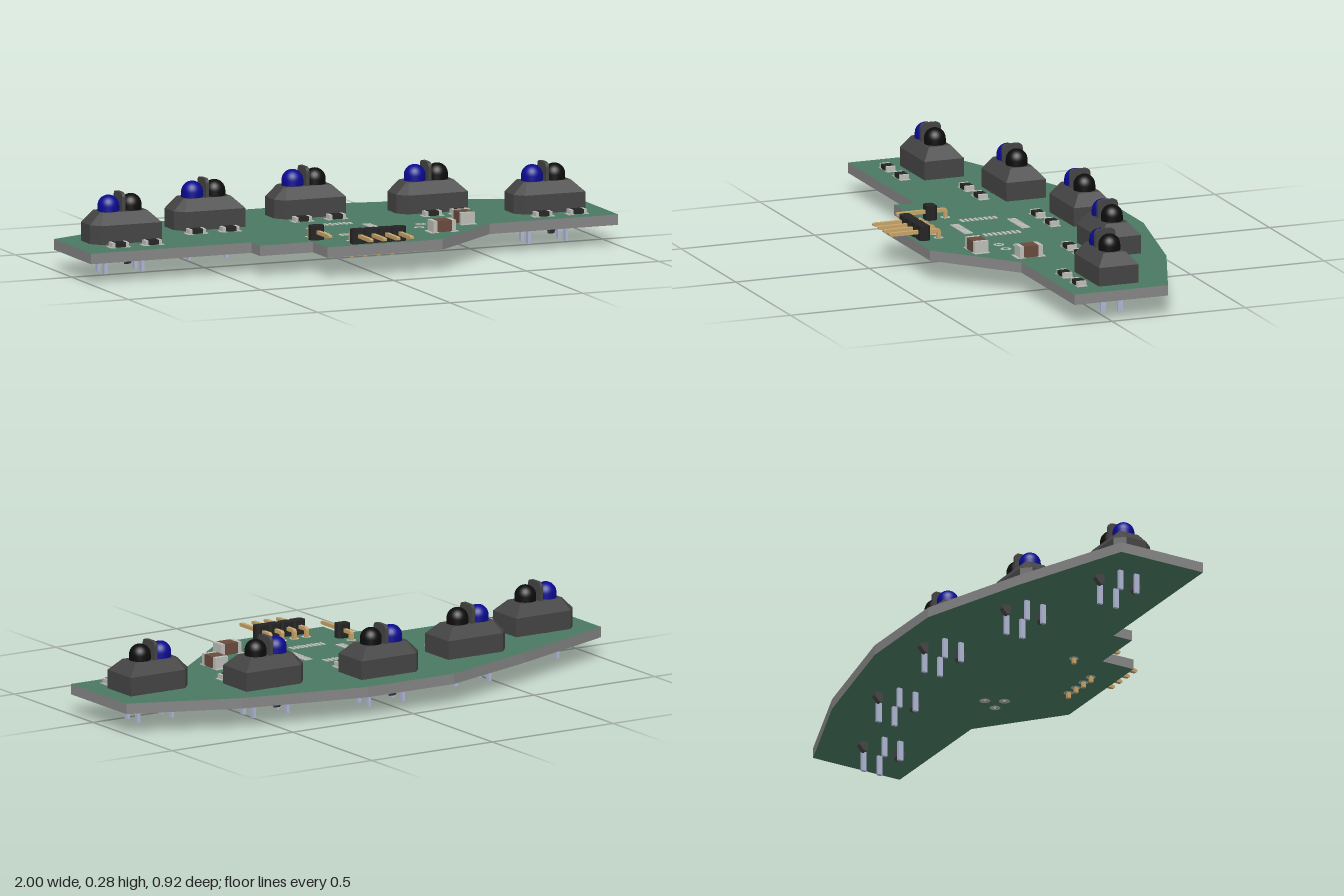
import * as THREE from 'three';
import { ConvexGeometry } from 'three/addons/geometries/ConvexGeometry.js';

const BOTTOM = 0.072, TOP = 0.109;
const mat = (color) => new THREE.MeshStandardMaterial({ color });
const M = {
  green: mat(0x4a7862), edge: mat(0x858585), body: mat(0x444444), blue: mat(0x0a0a90),
  black: mat(0x0c0c0c), lead: mat(0xb0b6d4), gold: mat(0xc8a468), metal: mat(0xbdbdb8),
  brown: mat(0x6a4a3c), plastic: mat(0x242424),
};

function add(parent, name, geometry, material, x = 0, y = 0, z = 0) {
  const mesh = new THREE.Mesh(geometry, material);
  mesh.name = name;
  mesh.position.set(x, y, z);
  parent.add(mesh);
  return mesh;
}
const box = (w, h, d) => new THREE.BoxGeometry(w, h, d);

function group(parent, name, x = 0, y = 0, z = 0) {
  const g = new THREE.Group();
  g.name = name;
  g.position.set(x, y, z);
  parent.add(g);
  return g;
}

// Extrude a (z, y) side profile across x, centred on x = 0
function sideExtrude(shape, width) {
  const g = new THREE.ExtrudeGeometry(shape, { depth: width, bevelEnabled: false, curveSegments: 6 });
  return g.translate(0, 0, -width / 2).rotateY(-Math.PI / 2);
}
const polygon = (pts) => new THREE.Shape(pts.map(([x, y]) => new THREE.Vector2(x, y)));

const regulatorHoles = [[0.29, 0.06], [0.258, 0.12], [0.322, 0.12]];

function buildBoard(parent) {
  const outline = [[-1, -0.16], [-0.575, -0.33], [-0.195, -0.46], [0.165, -0.46], [0.62, -0.36],
    [1, -0.21], [1, 0.14], [0.515, 0.14], [0.24, 0.37], [-0.195, 0.37], [-0.195, 0.245],
    [-0.395, 0.245], [-0.395, 0.17], [-1, 0.17]];
  const shape = polygon(outline.map(([x, z]) => [x, -z]).reverse());
  for (const [x, z] of regulatorHoles) {
    shape.holes.push(new THREE.Path().absarc(x, -z, 0.01, 0, Math.PI * 2, true));
  }
  const geo = new THREE.ExtrudeGeometry(shape, { depth: TOP - BOTTOM, bevelEnabled: false, curveSegments: 8 });
  add(parent, 'circuitBoard', geo.rotateX(-Math.PI / 2), [M.green, M.edge], 0, BOTTOM, 0);
}

// Ring pads on both faces of the board
function ringPad(parent, x, z, outer = 0.019) {
  const geo = new THREE.RingGeometry(0.01, outer, 20);
  add(parent, 'padTop', geo, M.metal, x, TOP + 0.001, z).rotation.x = -Math.PI / 2;
  add(parent, 'padBottom', geo, M.metal, x, BOTTOM - 0.001, z).rotation.x = Math.PI / 2;
}

function buildSensor(parent, x, z) {
  const s = group(parent, 'opticalSensor', x, 0, z);

  // Housing: chamfered on its -x end, tapering to a flat top
  const pts = [];
  const ring = (y, l, r, d, cx, cz) => [-1, 1].forEach((k) => pts.push(
    new THREE.Vector3(-l, y, k * (d - cz)), new THREE.Vector3(-l + cx, y, k * d), new THREE.Vector3(r, y, k * d)));
  ring(TOP, 0.128, 0.128, 0.074, 0.03, 0.034);
  ring(0.175, 0.128, 0.128, 0.074, 0.03, 0.034);
  ring(0.215, 0.088, 0.088, 0.041, 0.008, 0.009);
  add(s, 'housing', new ConvexGeometry(pts), M.body);

  // Lens domes
  const r = 0.038;
  const profile = [new THREE.Vector2(r, 0)];
  for (let i = 0; i <= 10; i++) {
    const a = (i / 10) * Math.PI / 2;
    profile.push(new THREE.Vector2(r * Math.cos(a), 0.02 + r * Math.sin(a)));
  }
  const dome = new THREE.LatheGeometry(profile, 28);
  add(s, 'emitterLens', dome, M.blue, -0.042, 0.213, 0);
  add(s, 'receiverLens', dome, M.black, 0.042, 0.213, 0);

  // Rounded divider between the lenses
  const fin = new THREE.Shape();
  fin.moveTo(-0.038, 0.2);
  fin.lineTo(0.038, 0.2);
  fin.lineTo(0.038, 0.26);
  fin.quadraticCurveTo(0.038, 0.28, 0.018, 0.28);
  fin.lineTo(-0.018, 0.28);
  fin.quadraticCurveTo(-0.038, 0.28, -0.038, 0.26);
  add(s, 'divider', sideExtrude(fin, 0.012), M.body);

  // Snap hooks and leads under the board
  const hook = sideExtrude(polygon([[0.058, 0.115], [0.058, 0.045], [0.066, 0.035], [0.074, 0.037],
    [0.092, 0.056], [0.092, 0.068], [0.076, 0.07], [0.076, 0.115]].reverse()), 0.02);
  for (const side of [-1, 1]) {
    add(s, 'snapHook', hook, M.body).rotation.y = side > 0 ? 0 : Math.PI;
    for (const k of [-1, 1]) {
      add(s, 'lead', box(0.011, 0.1, 0.018), M.lead, side * 0.07, 0.05, 0.004 + k * 0.032);
    }
  }
}

// Surface-mount part with metal ends, lying along x
function buildChip(parent, name, x, z, [len, h, w], material, turn = 0) {
  const c = group(parent, name, x, TOP, z);
  c.rotation.y = turn;
  add(c, 'core', box(len * 0.64, h, w), material, 0, h / 2 + 0.002, 0);
  for (const k of [-1, 1]) {
    add(c, 'endCap', box(len * 0.18, h, w), M.metal, k * len * 0.41, h / 2 + 0.002, 0);
    add(c, 'pad', box(len * 0.36, 0.003, w * 1.1), M.metal, k * len * 0.44, 0.001, 0);
  }
}

// Right-angle pin header; z is the row of holes
function buildHeader(parent, name, x, z, count) {
  const h = group(parent, name, x, 0, z);
  const pitch = 0.0505, t = 0.0065, y = 0.137;
  const pin = new THREE.Shape();
  pin.moveTo(-t, 0.051);
  pin.lineTo(t, 0.051);
  pin.lineTo(t, y - t);
  pin.lineTo(0.178, y - t);
  pin.lineTo(0.184, y - t / 2);
  pin.lineTo(0.184, y + t / 2);
  pin.lineTo(0.178, y + t);
  pin.lineTo(0.006, y + t);
  pin.quadraticCurveTo(-t, y + t, -t, y - 0.006);
  const pinGeo = sideExtrude(pin, 2 * t);
  // Eight-sided block per pin
  const c = 0.008, a = pitch / 2, d = 0.019;
  const block = new THREE.ExtrudeGeometry(polygon([[-a + c, -d], [a - c, -d], [a, -d + c], [a, d - c],
    [a - c, d], [-a + c, d], [-a, d - c], [-a, -d + c]]), { depth: 0.051, bevelEnabled: false }).rotateX(-Math.PI / 2);
  for (let i = 0; i < count; i++) {
    const px = (i - (count - 1) / 2) * pitch;
    add(h, 'pin', pinGeo, M.gold, px);
    add(h, 'pinBlock', block, M.plastic, px, TOP, 0.058);
    ringPad(h, px, 0, 0.017);
  }
}

export function createModel() {
  const model = new THREE.Group();
  model.name = 'sensorBoard';
  buildBoard(model);

  // Five sensors in an arc
  for (const [x, z] of [[-0.797, -0.055], [-0.417, -0.206], [-0.003, -0.29], [0.427, -0.217], [0.80, -0.055]]) {
    buildSensor(model, x, z);
  }

  // Resistor pairs in front of the sensors
  for (const [x1, x2, z] of [[-0.857, -0.732, 0.08], [-0.502, -0.376, -0.07], [-0.065, 0.063, -0.158],
    [0.395, 0.5, -0.088], [0.743, 0.872, 0.073]]) {
    for (const x of [x1, x2]) buildChip(model, 'resistor', x, z, [0.062, 0.016, 0.034], M.plastic);
  }

  // Capacitors
  buildChip(model, 'capacitor', 0.3, 0.22, [0.085, 0.04, 0.052], M.brown);
  buildChip(model, 'capacitor', 0.44, 0.083, [0.085, 0.04, 0.052], M.brown, Math.PI / 2);

  // Empty square chip footprint, eight pads per side
  const footprint = group(model, 'chipFootprint', 0.01, TOP, 0.051);
  for (let side = 0; side < 4; side++) {
    const row = group(footprint, 'padRow');
    row.rotation.y = side * Math.PI / 2;
    for (let i = 0; i < 8; i++) {
      add(row, 'pad', box(0.0105, 0.003, 0.032), M.metal, (i - 3.5) * 0.0178, 0.001, 0.107);
    }
  }

  for (const [x, z] of regulatorHoles) ringPad(model, x, z);
  buildHeader(model, 'fourPinHeader', 0.011, 0.276, 4);
  buildHeader(model, 'singlePinHeader', -0.166, 0.147, 1);
  return model;
}
